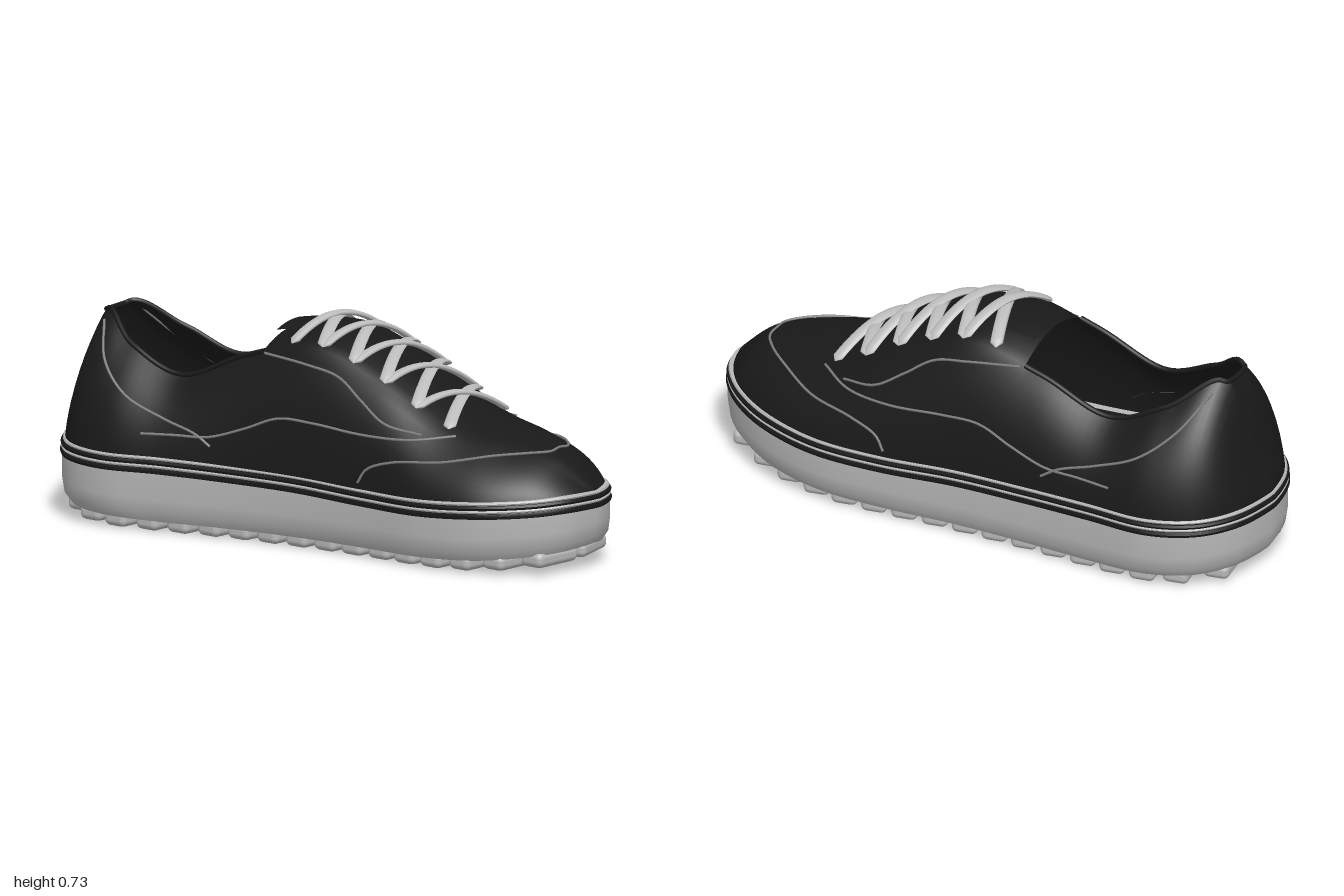
import * as THREE from 'three';
import { toCreasedNormals } from 'three/addons/utils/BufferGeometryUtils.js';
import { RoundedBoxGeometry } from 'three/addons/geometries/RoundedBoxGeometry.js';

const N = 96;                                   // stations from heel to toe
const OPEN_START = 16, OPEN_END = 42;           // stations of the ankle opening

// Tables run heel to toe at equal steps of phi, where x = -cos(phi)
const LEFT = [0, .155, .29, .342, .32, .295, .292, .315, .352, .342, .272, .172, .03];
const RIGHT = [0, -.175, -.3, -.358, -.354, -.344, -.342, -.357, -.354, -.3, -.205, -.09, .03];
const TOP_LEFT = [0, .05, .06, .155, .175, .17, .175, .185, .185, .15, .12, .08, .03];
const TOP_RIGHT = [0, -.05, -.06, -.17, -.195, -.2, -.2, -.195, -.185, -.13, -.07, 0, .03];
const TOP_Y = [.25, .37, .655, .575, .5, .59, .645, .56, .435, .395, .355, .285, .25];
const CROWN = [0, .01, 0, 0, .03, .05, .05, .05, .04, .025, .02, .01, 0];
const BAND_Y = [.01, .01, .005, 0, 0, -.005, -.01, -.02, -.02, -.01, 0, .01, .01];
const TREAD_Y = [.02, .02, .012, .005, 0, 0, 0, 0, .002, .01, .025, .04, .05];
const LEVEL = [0, 0];

// Smooth lookup in a table
function tab(a, phi) {
  const u = THREE.MathUtils.clamp(phi / Math.PI, 0, 1) * (a.length - 1);
  const i = Math.min(Math.floor(u), a.length - 2), t = u - i;
  const p1 = a[i], p2 = a[i + 1], p0 = a[i - 1] ?? p1, p3 = a[i + 2] ?? p2;
  const m1 = (p2 - p0) / 2, m2 = (p3 - p1) / 2;
  return p1 + t * (m1 + t * (3 * (p2 - p1) - 2 * m1 - m2 + t * (2 * (p1 - p2) + m1 + m2)));
}
const phiOf = x => Math.acos(THREE.MathUtils.clamp(-x, -1, 1));
const lerp = THREE.MathUtils.lerp;

// Grid surface from a point rule; skip() leaves cells out
function grid(fn, nu, nv, skip = () => false) {
  const pos = [], idx = [];
  for (let i = 0; i <= nu; i++) for (let j = 0; j <= nv; j++) pos.push(...fn(i, j));
  for (let i = 0; i < nu; i++) for (let j = 0; j < nv; j++) {
    if (skip(i, j)) continue;
    const a = i * (nv + 1) + j, b = a + nv + 1;
    idx.push(a, b, b + 1, a, b + 1, a + 1);
  }
  const g = new THREE.BufferGeometry();
  g.setAttribute('position', new THREE.Float32BufferAttribute(pos, 3));
  g.setIndex(idx);
  g.computeVertexNormals();
  return g;
}

// Point on the upper: v 0..1 left wall, 1..2 crown, 2..3 right wall
function upperPoint(phi, v, lift = 0) {
  const x = -Math.cos(phi) * .985, top = tab(TOP_Y, phi);
  const zl = tab(TOP_LEFT, phi), zr = tab(TOP_RIGHT, phi);
  if (v >= 1 && v <= 2) {
    const s = v - 1;
    return [x, top + tab(CROWN, phi) * 4 * s * (1 - s) + lift, lerp(zl, zr, s)];
  }
  const left = v < 1, t = left ? v : 3 - v;
  const zb = tab(left ? LEFT : RIGHT, phi) * .972, zt = left ? zl : zr;
  const yb = .225 + tab(BAND_Y, phi);
  const bez = (a, c, b) => (1 - t) * (1 - t) * a + 2 * t * (1 - t) * c + t * t * b;
  return [x, bez(yb, lerp(yb, top, .6), top) + lift * .5,
    bez(zb, lerp(zb, zt, .1), zt) + (left ? lift : -lift)];
}

// Closed loft round the sole outline; levels are [inset, y, table that bends y]
function outlineLoft(levels) {
  return toCreasedNormals(grid((j, l) => {
    const k = j % (2 * N), left = k <= N;
    const phi = (left ? k : 2 * N - k) / N * Math.PI;
    const [inset, y, bend] = levels[l];
    const c = (tab(LEFT, phi) + tab(RIGHT, phi)) / 2, z = tab(left ? LEFT : RIGHT, phi);
    return [-Math.cos(phi) * (1 - inset), y + tab(bend, phi), c + (z - c) * (1 - inset / .34)];
  }, 2 * N, levels.length - 1), .7);
}

const curveOf = points => new THREE.CatmullRomCurve3(points.map(p => new THREE.Vector3(...p)));
const tube = (points, radius, segments, sides = 6) =>
  new THREE.TubeGeometry(curveOf(points), segments, radius, sides);

// Flat ribbon with an oval section, lying level across its path
function ribbon(points, halfWidth, halfThick) {
  const curve = curveOf(points), n = 24, sides = 10;
  return grid((i, j) => {
    const tangent = curve.getTangent(i / n);
    const side = tangent.clone().cross(new THREE.Vector3(0, 1, 0)).normalize();
    const up = side.clone().cross(tangent);
    const a = -j / sides * Math.PI * 2, r = i === 0 || i === n ? 0 : 1;
    return curve.getPoint(i / n)
      .addScaledVector(side, -Math.cos(a) * halfWidth * r)
      .addScaledVector(up, -Math.sin(a) * halfThick * r).toArray();
  }, n, sides);
}

export function createModel() {
  const shoe = new THREE.Group();
  const mat = (name, color, side = THREE.FrontSide) =>
    Object.assign(new THREE.MeshStandardMaterial({ color, side }), { name });
  const black = mat('black canvas', 0x191919, THREE.DoubleSide);
  const grey = mat('pale grey rubber', 0xb8b8b8);
  const cord = mat('pale grey lace', 0xbcbcbc, THREE.DoubleSide);
  const stitch = mat('grey stitching', 0x808080);
  const add = (name, geometry, material) => {
    const m = new THREE.Mesh(geometry, material);
    m.name = name;
    shoe.add(m);
    return m;
  };

  // Sole: underside, rounded edge, side wall, then down inside to the insole
  add('sole', outlineLoft([
    [.34, .028, TREAD_Y], [.075, .028, TREAD_Y], [.03, .036, TREAD_Y], [.012, .065, TREAD_Y],
    [.006, .11, TREAD_Y], [.006, .205, BAND_Y], [.04, .205, BAND_Y],
    [.05, .11, LEVEL], [.34, .11, LEVEL],
  ]), grey);

  // Foxing bands in alternating colours
  [[0, .197, .215, black], [.003, .214, .226, grey], [.002, .225, .24, black], [.008, .239, .251, grey]]
    .forEach(([inset, y0, y1, m], i) => add('foxingBand' + (i + 1), outlineLoft([
      [.04, y0, BAND_Y], [inset + .003, y0, BAND_Y], [inset, (y0 + y1) / 2, BAND_Y],
      [inset + .003, y1, BAND_Y], [.04, y1, BAND_Y],
    ]), m));

  // Two columns of slanted tread bars, with matching pads on the insole
  for (let k = 0; k < 17; k++) {
    const x = -.86 + k * .109, phi = phiOf(x);
    const c = (tab(LEFT, phi) + tab(RIGHT, phi)) / 2;
    for (const [edge, s] of [[LEFT, 1], [RIGHT, -1]]) {
      // keep both outer corners of the bar inside the outline
      const reach = Math.min(...[-.075, 0].map(d => s * (tab(edge, phiOf(x + d)) - c)));
      const len = Math.max(.07, reach * .9 - .01);
      const place = (name, w, h, y, l) => {
        const bar = add(name, new RoundedBoxGeometry(w, h, l, 3, Math.min(w, h) * .4), grey);
        bar.position.set(x - .012, y, c + s * (.008 + l / 2));
        bar.rotation.y = -s * .16;
      };
      place('treadBar', .088, .05, .025 + tab(TREAD_Y, phi), len);
      if (k > 0 && k < 15) place('insolePad', .1, .024, .114, len * .9);
    }
  }

  // Upper with the ankle opening left out of the crown
  const W = 10, C = 10;
  const vOf = j => j <= W ? j / W : j <= W + C ? 1 + (j - W) / C : 2 + (j - W - C) / W;
  add('upper', grid((i, j) => upperPoint(i / N * Math.PI, vOf(j)), N, 2 * W + C,
    (i, j) => i >= OPEN_START && i < OPEN_END && j >= W && j < W + C), black);

  // Rolled collar edge
  const rim = [];
  for (let i = OPEN_END; i >= OPEN_START; i--) rim.push(upperPoint(i / N * Math.PI, 1));
  for (let i = OPEN_START; i <= OPEN_END; i++) rim.push(upperPoint(i / N * Math.PI, 2));
  add('collarEdge', tube(rim, .009, 120, 8), black);

  // Tongue lying on the crown, its tip kicked up
  add('tongue', grid((i, j) => {
    const u = i / 16, phi = lerp(1.38, 2.05, u);
    return upperPoint(phi, lerp(1.2, 1.8, j / 8), .006 + .018 * Math.max(0, 1 - u * 5));
  }, 16, 8), black);

  // Criss-cross laces
  const eyelet = k => phiOf(-.085 + k * .122);
  for (let k = 0; k < 5; k++) for (const s of [-1, 1]) {
    const pts = [];
    for (let i = 0; i <= 8; i++) {
      const t = i / 8, phi = lerp(eyelet(k), eyelet(k + 1), t);
      pts.push(upperPoint(phi, 1.5 + s * lerp(-.5, .5, t),
        .008 + (.013 + s * .006) * Math.sin(Math.PI * t)));
    }
    add('lace', ribbon(pts, .021, .009), cord);
  }

  // Stitched seams, given as [x, y] on the wall and repeated on both sides
  const onSide = (x, y, left) => {
    const phi = phiOf(x / .985), yb = .225 + tab(BAND_Y, phi);
    const f = THREE.MathUtils.clamp((y - yb) / (tab(TOP_Y, phi) - yb), 0, 1);
    const v = Math.min(1, 3 - Math.sqrt(9 - 5 * f));
    return upperPoint(phi, left ? v : 3 - v, .004);
  };
  const seams = {
    heelSeam: [[-.83, .63], [-.76, .52], [-.65, .43], [-.5, .37], [-.38, .335], [-.32, .3]],
    sideSeam: [[-.57, .32], [-.45, .325], [-.33, .33], [-.2, .37], [-.08, .415], [.05, .415],
      [.25, .4], [.42, .4], [.55, .415]],
    eyestaySeam: [[-.18, .605], [0, .59], [.12, .565], [.22, .5], [.32, .44], [.45, .415]],
  };
  for (const [name, pts] of Object.entries(seams)) for (const left of [true, false])
    add(name, tube(pts.map(([x, y]) => onSide(x, y, left)), .0045, 48, 5), stitch);

  // Toe cap seam running right across the toe
  const toe = [[.25, .25], [.28, .295], [.38, .33], [.55, .345], [.7, .37], [.79, .375]];
  add('toeCapSeam', tube([
    ...toe.map(([x, y]) => onSide(x, y, true)),
    ...[1.25, 1.5, 1.75].map(v => upperPoint(phiOf(.85), v, .003)),
    ...toe.reverse().map(([x, y]) => onSide(x, y, false)),
  ], .0045, 90, 5), stitch);

  return shoe;
}
